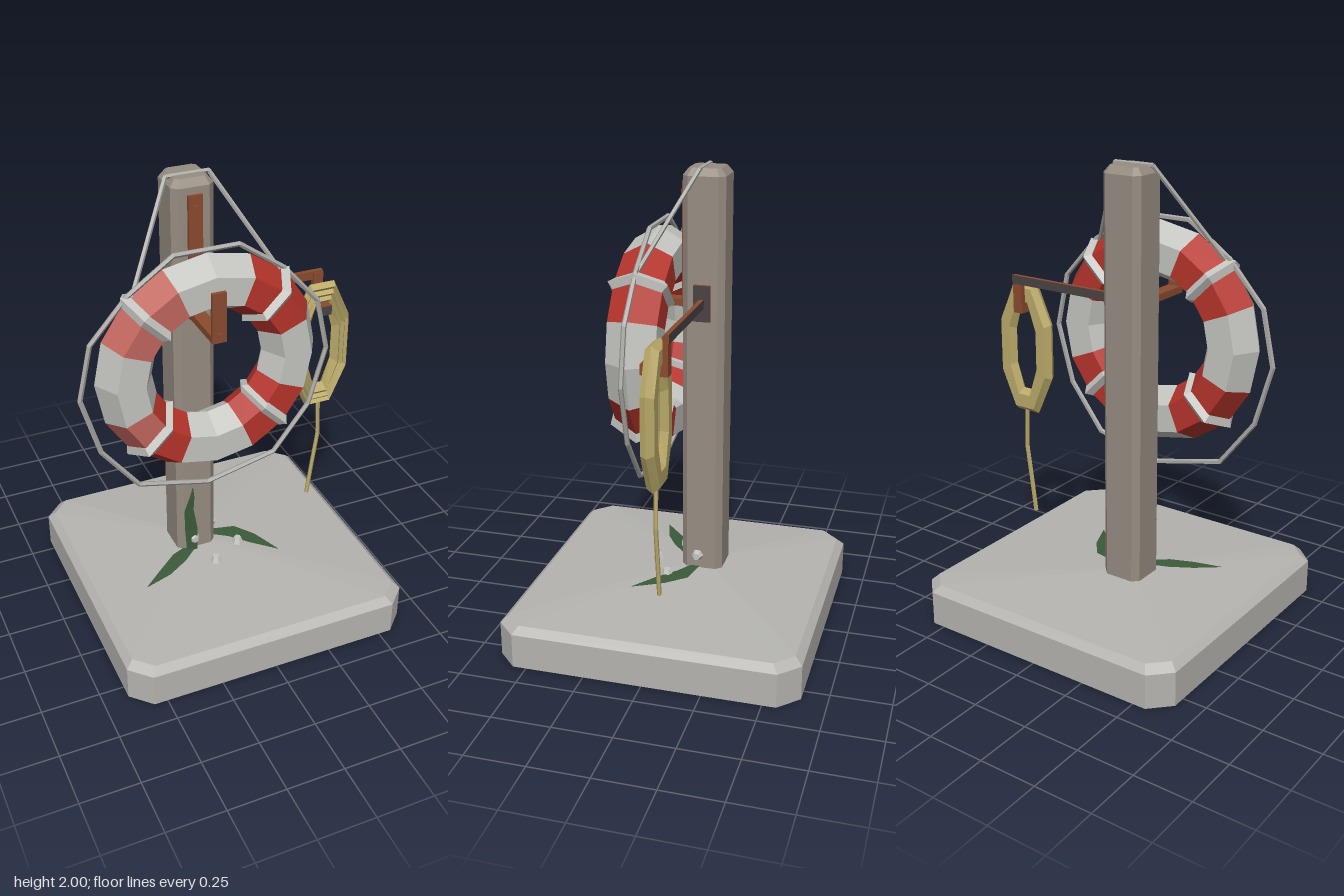
import * as THREE from 'three';

const mat = (name, color) => Object.assign(new THREE.MeshStandardMaterial({ color }), { name });
const M = {
  concrete: mat('concrete', 0xb5b4b0),
  wood: mat('weathered wood', 0x978d82),
  white: mat('float white', 0xc4c4c0),
  red: mat('float red', 0xb5342b),
  faded: mat('faded red', 0xc0655d),
  rope: mat('grey rope', 0xaaa9a5),
  coil: mat('tan rope', 0xbaa968),
  rust: mat('rusty metal', 0x8a4a2e),
  iron: mat('dark iron', 0x4a4244),
  leaf: mat('weed green', 0x3c5a3a),
};

// Faceted copy of a geometry
function flat(geo) {
  const g = geo.index ? geo.toNonIndexed() : geo;
  g.computeVertexNormals();
  return g;
}

// Skin through rings of points; each ring is closed
function loft(rings) {
  const pos = [];
  for (let i = 0; i < rings.length - 1; i++) {
    const p = rings[i], q = rings[i + 1], n = p.length;
    for (let j = 0; j < n; j++) {
      const k = (j + 1) % n;
      pos.push(...p[j], ...p[k], ...q[k], ...p[j], ...q[k], ...q[j]);
    }
  }
  const g = new THREE.BufferGeometry();
  g.setAttribute('position', new THREE.Float32BufferAttribute(pos, 3));
  return flat(g);
}

// Square ring with cut corners at height y
function cutSquare(h, c, y, cx = 0, cz = 0) {
  const k = h - c;
  return [[h, -k], [h, k], [k, h], [-k, h], [-h, k], [-h, -k], [-k, -h], [k, -h]]
    .map(([a, b]) => [cx + a, y, cz - b]);
}

export function createModel() {
  const model = new THREE.Group();
  const add = (name, geo, material, parent = model) => {
    const m = new THREE.Mesh(geo, material);
    m.name = name;
    parent.add(m);
    return m;
  };
  // Box given by its minimum and maximum corners
  const box = (name, a, b, material) => add(name,
    new THREE.BoxGeometry(b[0] - a[0], b[1] - a[1], b[2] - a[2])
      .translate((a[0] + b[0]) / 2, (a[1] + b[1]) / 2, (a[2] + b[2]) / 2), material);
  // Rope of straight pieces through points
  const rope = (name, pts, r, material) => {
    const group = new THREE.Group();
    group.name = name;
    model.add(group);
    const up = new THREE.Vector3(0, 1, 0);
    for (let i = 0; i < pts.length - 1; i++) {
      const a = new THREE.Vector3(...pts[i]), b = new THREE.Vector3(...pts[i + 1]);
      const d = b.clone().sub(a);
      const m = add('ropePiece', flat(new THREE.CylinderGeometry(r, r, d.length() + r * 0.5, 5)), material, group);
      m.position.copy(a).add(b).multiplyScalar(0.5);
      m.quaternion.setFromUnitVectors(up, d.normalize());
    }
  };

  // Base slab and post
  const PX = -0.1, PZ = -0.08;
  add('base', loft([
    Array(8).fill([0, 0, 0]), cutSquare(0.643, 0.085, 0), cutSquare(0.643, 0.085, 0.15),
    cutSquare(0.612, 0.075, 0.18), Array(8).fill([PX, 0.228, PZ]),
  ]), M.concrete);
  add('post', loft([
    cutSquare(0.09, 0.026, 0.18, PX, PZ), cutSquare(0.09, 0.026, 1.96, PX, PZ),
    cutSquare(0.067, 0.014, 1.99, PX, PZ), Array(8).fill([PX, 1.99, PZ]),
  ]), M.wood);

  // Life ring: two segments of each quadrant are red, some of them faded on the front
  const ring = new THREE.Group();
  ring.name = 'lifeRing';
  ring.position.set(PX, 1.257, 0.13);
  model.add(ring);
  const torus = new THREE.TorusGeometry(0.36, 0.12, 6, 16);
  for (let j = 0; j < 6; j++) {
    for (let i = 0; i < 16; i++) {
      const isRed = i % 4 === 1 || i % 4 === 2;
      const isFaded = j < 2 && [5, 6, 9].includes(i);
      torus.addGroup((j * 16 + i) * 6, 6, isFaded ? 2 : isRed ? 1 : 0);
    }
  }
  add('float', flat(torus), [M.white, M.red, M.faded], ring);
  for (let q = 0; q < 4; q++) {
    const a = Math.PI / 4 + q * Math.PI / 2;
    add('band', flat(new THREE.TorusGeometry(0.118, 0.027, 4, 6)
      .rotateX(-Math.PI / 2).rotateZ(a).translate(0.36 * Math.cos(a), 0.36 * Math.sin(a), 0)), M.white, ring);
  }

  // Grab line around the ring, mirrored about its middle
  const half = [[0.137, 1.75], [0.33, 1.615], [0.49, 1.435], [0.542, 1.2], [0.468, 0.94], [0.31, 0.735], [0, 0.662]];
  const side = (s) => half.map(([x, y]) => [PX + s * x, y, 0.13]);
  rope('grabLine', [...side(-1).reverse(), ...side(1)], 0.011, M.rope);
  rope('hangingLine', [[-0.41, 1.61, 0.13], [-0.19, 1.988, -0.065], [-0.01, 1.988, -0.065], [0.21, 1.61, 0.13]], 0.01, M.rope);

  // Hook that carries the ring
  box('hookBackPlate', [-0.13, 1.4, 0.005], [-0.07, 1.93, 0.024], M.rust);
  box('hookArm', [-0.13, 1.405, 0.02], [-0.07, 1.435, 0.25], M.rust);
  box('hookLip', [-0.13, 1.405, 0.238], [-0.07, 1.62, 0.256], M.rust);
  for (const [y, z] of [[1.88, 0.026], [1.44, 0.258]]) {
    add('rivet', flat(new THREE.CylinderGeometry(0.012, 0.012, 0.014, 6).rotateX(Math.PI / 2).translate(PX, y, z)), M.rust);
  }

  // Side arm; material order is +x, -x, +y, -y, +z, -z
  const { rust: r, iron: k } = M;
  box('armPlate', [-0.012, 1.363, -0.115], [0.004, 1.517, -0.045], [k, r, r, r, r, r]);
  box('sideArm', [0, 1.42, -0.09], [0.52, 1.458, -0.07], [r, r, r, k, r, k]);
  box('armDrop', [0.474, 1.29, -0.086], [0.52, 1.45, -0.064], r);
  box('armPeg', [0.474, 1.29, -0.07], [0.52, 1.333, 0.026], [r, r, r, r, k, r]);

  // Coiled line: ridged profile as [inset, z], swept around a long octagon
  const profile = [[0, -0.03], [0.014, -0.004], [0.026, -0.016], [0.038, 0], [0.05, -0.014], [0.062, -0.002],
    [0.09, -0.03], [0.07, -0.06], [0.02, -0.06], [0, -0.03]];
  add('ropeCoil', loft(profile.map(([d, z]) => Array.from({ length: 8 }, (_, i) => {
    const t = (i + 0.5) * Math.PI / 4;
    return [0.497 + (0.15 - d) * Math.cos(t), 1.12 + (0.325 - d * 1.3) * Math.sin(t), z];
  }))), M.coil);
  rope('coilTail', [[0.505, 0.84, -0.03], [0.512, 0.65, -0.03], [0.49, 0.49, -0.03], [0.47, 0.335, -0.03]], 0.01, M.coil);

  // Weeds: thin two-faced strips, each row [x, y, z, half width], across direction w
  const leaf = (rows, w) => add('weed', loft(rows.map(([x, y, z, h]) => [
    [x - w[0] * h, y - w[1] * h, z - w[2] * h], [x + w[0] * h, y + w[1] * h, z + w[2] * h],
  ])), M.leaf);
  leaf([[-0.135, 0.21, 0.03, 0.025], [-0.135, 0.33, 0.02, 0.03], [-0.145, 0.44, 0.02, 0.022],
    [-0.132, 0.51, 0.024, 0.012], [-0.125, 0.56, 0.02, 0.001]], [1, 0, 0]);
  leaf([[-0.13, 0.226, 0.01, 0.02], [-0.21, 0.224, 0.06, 0.036], [-0.3, 0.216, 0.12, 0.028],
    [-0.41, 0.213, 0.18, 0.001]], [0.5, 0, 0.86]);
  leaf([[-0.02, 0.228, -0.06, 0.018], [0.08, 0.226, -0.02, 0.04], [0.15, 0.222, 0.06, 0.034],
    [0.23, 0.215, 0.17, 0.001]], [0.65, 0, -0.75]);

  // Bolts on the post and on the slab
  const bolt = (x, y, z, rx, rz) => {
    const m = add('bolt', flat(new THREE.CylinderGeometry(0.016, 0.028, 0.028, 6)), M.white);
    m.position.set(x, y, z);
    m.rotation.set(rx, 0, rz);
  };
  bolt(-0.12, 0.276, 0.02, Math.PI / 2, 0);
  bolt(0, 0.282, -0.065, 0, -Math.PI / 2);
  bolt(-0.06, 0.226, 0.13, 0, 0);
  bolt(0.08, 0.23, 0.05, 0, 0);
  return model;
}
